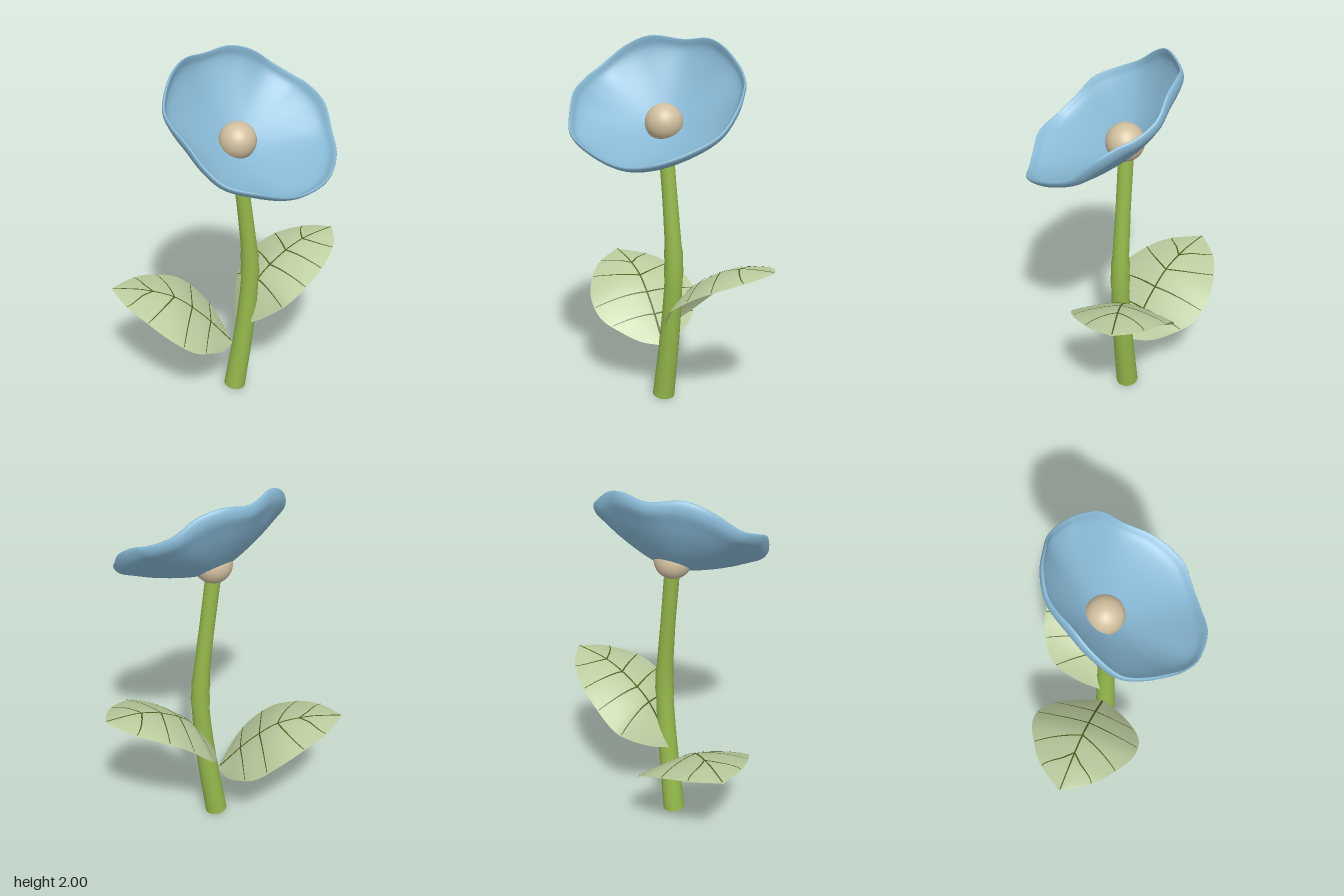
import * as THREE from 'three';

const V = (x, y, z) => new THREE.Vector3(x, y, z);
const spline = (pts, closed = false) => new THREE.CatmullRomCurve3(pts.map(p => V(...p)), closed, 'centripetal');
const mat = (name, color, side = THREE.DoubleSide) => {
  const m = new THREE.MeshStandardMaterial({ color, side });
  m.name = name;
  return m;
};

// Smooth sheet from a rule fn(u, v) -> Vector3; wrap joins the v = 0 and v = 1 edges
function sheet(fn, nu, nv, wrap = false) {
  const pos = [], idx = [], cols = wrap ? nv : nv + 1;
  for (let i = 0; i <= nu; i++)
    for (let j = 0; j < cols; j++) pos.push(...fn(i / nu, j / nv).toArray());
  for (let i = 0; i < nu; i++)
    for (let j = 0; j < nv; j++) {
      const k = (j + 1) % cols;
      const a = i * cols + j, b = i * cols + k, c = a + cols, d = b + cols;
      idx.push(a, b, c, b, d, c);
    }
  const g = new THREE.BufferGeometry();
  g.setAttribute('position', new THREE.Float32BufferAttribute(pos, 3));
  g.setIndex(idx);
  g.computeVertexNormals();
  return g;
}

function mesh(name, geometry, material) {
  const m = new THREE.Mesh(geometry, material);
  m.name = name;
  return m;
}

// Leaf growing from base towards dir (both [x, z]), arched so that both edges droop.
// rows: [distance along, half width, midrib height, back edge height, front edge height]
// veins: [start row on the midrib, end row on the edge]
function makeLeaf(name, base, dir, rows, veins, bladeMat, veinMat) {
  const leaf = new THREE.Group();
  leaf.name = name;
  const along = V(dir[0], 0, dir[1]).normalize(), sign = Math.sign(dir[0]);
  const across = V(-along.z * sign, 0, along.x * sign);
  const edge = (s, col) => spline(rows.map(r => V(base[0], r[col], base[1])
    .addScaledVector(along, r[0]).addScaledVector(across, s * r[1]).toArray()));
  const mid = edge(0, 2), back = edge(-1, 3), front = edge(1, 4);
  // s runs from -1 (back edge) over 0 (midrib) to 1 (front edge)
  const at = (t, s) => {
    const m = mid.getPoint(t), e = (s < 0 ? back : front).getPoint(t);
    const p = m.clone().lerp(e, Math.abs(s));
    p.y = m.y + (e.y - m.y) * Math.abs(s) ** 1.7;
    return p;
  };
  const normal = (t, s) => {
    const a = at(Math.min(1, t + 0.01), s).sub(at(t - 0.01, s));
    const n = a.cross(at(t, Math.min(1, s + 0.05)).sub(at(t, Math.max(-1, s - 0.05)))).normalize();
    return n.y < 0 ? n.negate() : n;
  };
  // corners ordered so that the normals point up
  leaf.add(mesh('blade', sheet((u, v) => at(u, sign * (1 - 2 * v)), 42, 14), bladeMat));

  // Veins: narrow ribbons lying just above the blade
  const vein = (t0, t1, s1, width) => {
    const path = u => at(t0 + (t1 - t0) * u, s1 * u);
    return sheet((u, v) => {
      const n = normal(t0 + (t1 - t0) * u, s1 * u);
      const tan = path(Math.min(1, u + 0.02)).sub(path(Math.max(0, u - 0.02)));
      const side = n.clone().cross(tan).normalize();
      return path(u).addScaledVector(side, (v - 0.5) * width * (1 - 0.5 * u)).addScaledVector(n, 0.004);
    }, 24, 1);
  };
  const last = rows.length - 1;
  leaf.add(mesh('midrib', vein(0.04, 0.985, 0, 0.013), veinMat));
  for (const s of [-0.98, 0.98])
    for (const [a, b] of veins)
      leaf.add(mesh('sideVein', vein(a / last, b / last, s, 0.009), veinMat));
  return leaf;
}

export function createModel() {
  const flower = new THREE.Group();
  flower.name = 'flower';
  const stemGreen = mat('stem green', 0x94b94b, THREE.FrontSide);
  const leafGreen = mat('leaf green', 0xbccd9f);
  const veinGreen = mat('vein green', 0x4a611e);
  const petalBlue = mat('petal blue', 0x88b9d5);
  const beige = mat('centre beige', 0xd0bf9e, THREE.FrontSide);

  // Stem: tapering tube with a slight joint, closed at the foot and top
  const path = spline([[0.03, 0.01, -0.073], [0.085, 0.4, -0.073], [0.114, 0.72, -0.073],
    [0.112, 0.88, -0.073], [0.088, 1.12, -0.071], [0.042, 1.5, -0.066]]);
  const segs = 48, sides = 20;
  const tube = new THREE.TubeGeometry(path, segs, 1, sides);
  const radius = t => {
    const joint = 0.006 * (Math.exp(-(((t - 0.52) / 0.025) ** 2)) + Math.exp(-(((t - 0.58) / 0.02) ** 2)));
    return 0.061 - 0.021 * Math.min(1, t * 1.25) + joint;
  };
  const p = tube.attributes.position;
  for (let i = 0; i < p.count; i++) {
    const t = Math.floor(i / (sides + 1)) / segs, c = path.getPointAt(t);
    const q = V().fromBufferAttribute(p, i).sub(c).multiplyScalar(radius(t)).add(c);
    p.setXYZ(i, q.x, q.y, q.z);
  }
  flower.add(mesh('stem', tube, stemGreen));
  for (const t of [0, 1]) {
    const cap = mesh('stemEnd', new THREE.CircleGeometry(radius(t), sides), stemGreen);
    cap.position.copy(path.getPointAt(t));
    cap.quaternion.setFromUnitVectors(V(0, 0, 1), path.getTangentAt(t).multiplyScalar(t ? 1 : -1));
    flower.add(cap);
  }

  // Two leaves
  flower.add(makeLeaf('rightLeaf', [0.02, -0.08], [-0.67, -0.135], [
    [0, 0, 0.3, 0.3, 0.3], [0.05, 0.12, 0.355, 0.325, 0.325], [0.116, 0.221, 0.43, 0.385, 0.38],
    [0.2, 0.296, 0.512, 0.45, 0.435], [0.33, 0.307, 0.607, 0.55, 0.525], [0.5, 0.217, 0.653, 0.622, 0.61],
    [0.58, 0.148, 0.659, 0.643, 0.635], [0.684, 0, 0.662, 0.662, 0.662]],
  [[2.15, 2.4], [3.27, 3.5], [4, 4.72], [4.68, 6]], leafGreen, veinGreen));
  flower.add(makeLeaf('leftLeaf', [0.04, -0.09], [0.61, -0.228], [
    [0, 0, 0.43, 0.43, 0.43], [0.05, 0.1, 0.53, 0.47, 0.475], [0.131, 0.215, 0.655, 0.55, 0.58],
    [0.186, 0.26, 0.715, 0.605, 0.643], [0.3415, 0.262, 0.813, 0.745, 0.75], [0.4616, 0.212, 0.854, 0.805, 0.805],
    [0.582, 0.116, 0.868, 0.848, 0.848], [0.651, 0, 0.872, 0.872, 0.872]],
  [[2.3, 2.5], [3.3, 3.67], [3.93, 4.57], [4.86, 5.7]], leafGreen, veinGreen));

  // Corolla: a tilted bowl, round at the foot, rising to a wavy rim with a rounded lip
  const rim = spline([[0.05, 1.998, -0.34], [-0.09, 1.982, -0.29], [-0.22, 2, -0.16], [-0.3, 1.95, -0.06],
    [-0.353, 1.84, 0.08], [-0.328, 1.79, 0.19], [-0.27, 1.735, 0.3], [-0.2, 1.64, 0.37], [-0.11, 1.565, 0.425],
    [0.05, 1.52, 0.45], [0.2, 1.463, 0.4], [0.3, 1.45, 0.355], [0.43, 1.48, 0.285], [0.52, 1.54, 0.13],
    [0.538, 1.61, -0.04], [0.525, 1.72, -0.15], [0.46, 1.79, -0.24], [0.4, 1.82, -0.3], [0.29, 1.88, -0.355],
    [0.17, 1.965, -0.35]], true);
  const foot = V(0.035, 1.55, -0.07), axis = V(0.29, 0.82, 0.5).normalize();
  // (share of rim radius, share of rim height), up the inside, over the lip and down the outside
  const profile = new THREE.SplineCurve([[0, 0], [0.2, 0.05], [0.42, 0.21], [0.65, 0.43], [0.83, 0.64],
    [0.93, 0.8], [0.965, 0.94], [0.985, 1], [1, 0.95], [0.985, 0.84], [0.94, 0.73], [0.83, 0.6], [0.65, 0.39],
    [0.42, 0.17], [0.2, 0.01], [0, -0.04]].map(q => new THREE.Vector2(...q)));
  const bowl = sheet((u, v) => {
    const f = profile.getPoint(u), d = rim.getPoint(v).sub(foot), h = d.dot(axis);
    const out = d.addScaledVector(axis, -h), wave = f.x * f.x;
    const reach = f.x * THREE.MathUtils.lerp(0.46, out.length(), wave);
    const rise = f.y * THREE.MathUtils.lerp(0.2, h, wave);
    return foot.clone().addScaledVector(out.normalize(), reach).addScaledVector(axis, rise);
  }, 60, 96, true);
  flower.add(mesh('corolla', bowl, petalBlue));

  // Round flower centre
  const centre = mesh('flowerCentre', new THREE.SphereGeometry(0.1, 32, 20), beige);
  centre.position.set(0.04, 1.58, -0.06);
  flower.add(centre);
  return flower;
}
